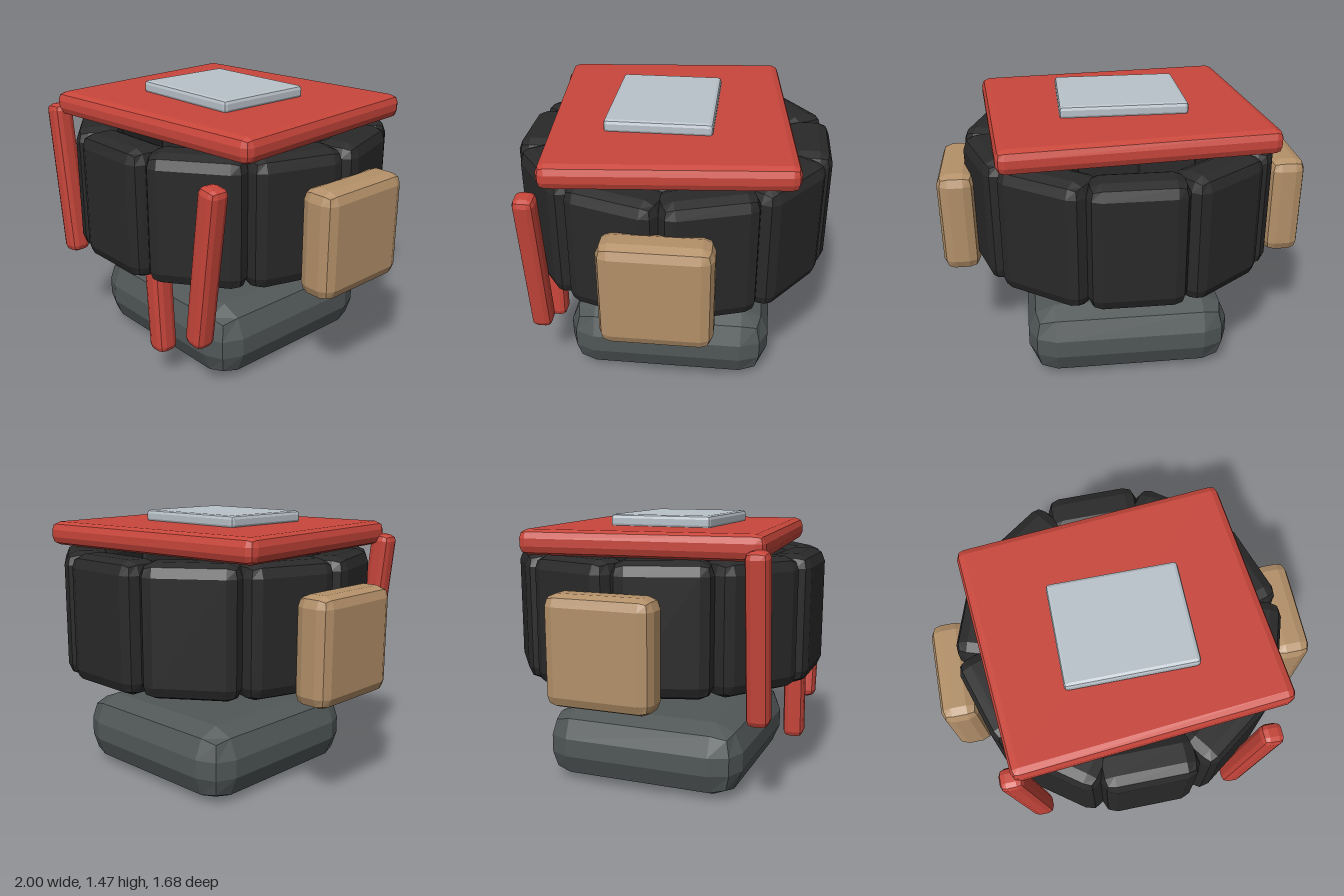
import * as THREE from 'three';
import { RoundedBoxGeometry } from 'three/addons/geometries/RoundedBoxGeometry.js';

const material = (name, color) => {
  const m = new THREE.MeshStandardMaterial({ color, flatShading: true });
  m.name = name;
  return m;
};

export function createModel() {
  const charcoal = material('charcoal', 0x292929);
  const slate = material('slate grey', 0x515757);
  const red = material('red', 0xc8463b);
  const tan = material('tan', 0xb39069);
  const silver = material('silver', 0xb9c2ca);

  const model = new THREE.Group();
  model.name = 'model';

  // Box whose edges are bevelled in two facets
  const block = (name, mat, size, bevel, position, parent = model) => {
    const mesh = new THREE.Mesh(new RoundedBoxGeometry(...size, 1, bevel), mat);
    mesh.name = name;
    mesh.position.set(...position);
    parent.add(mesh);
    return mesh;
  };

  // Base cushion
  block('base', slate, [1.12, 0.4, 1.12], 0.15, [0, 0.2, 0]);

  // Ring of ten upright blocks
  const ring = new THREE.Group();
  ring.name = 'ring';
  model.add(ring);
  for (let i = 0; i < 10; i++) {
    const a = (i / 10) * Math.PI * 2;
    const seg = block('ringBlock', charcoal, [0.5, 0.68, 0.24], 0.07,
      [Math.sin(a) * 0.72, 0.94, Math.cos(a) * 0.72], ring);
    seg.rotation.y = a;
  }

  // Side pads
  for (const [name, s] of [['leftPad', 1], ['rightPad', -1]]) {
    block(name, tan, [0.2, 0.56, 0.56], 0.06, [s * 0.9, 0.85, 0]);
  }

  // Slightly turned lid with a plate on top
  block('lid', red, [1.44, 0.13, 1.26], 0.045, [0, 1.345, 0.025]).rotation.y = 0.087;
  block('lidPlate', silver, [0.68, 0.07, 0.56], 0.02, [0, 1.435, 0.06]);

  // Hanging front straps: centre x, centre y, tilt
  for (const [x, y, tilt] of [[-0.63, 0.905, 0.1], [0.213, 0.595, 0.05], [0.595, 0.755, -0.14]]) {
    block('strap', red, [0.12, 0.87, 0.115], 0.035, [x, y, 0.688]).rotation.z = tilt;
  }

  return model;
}
